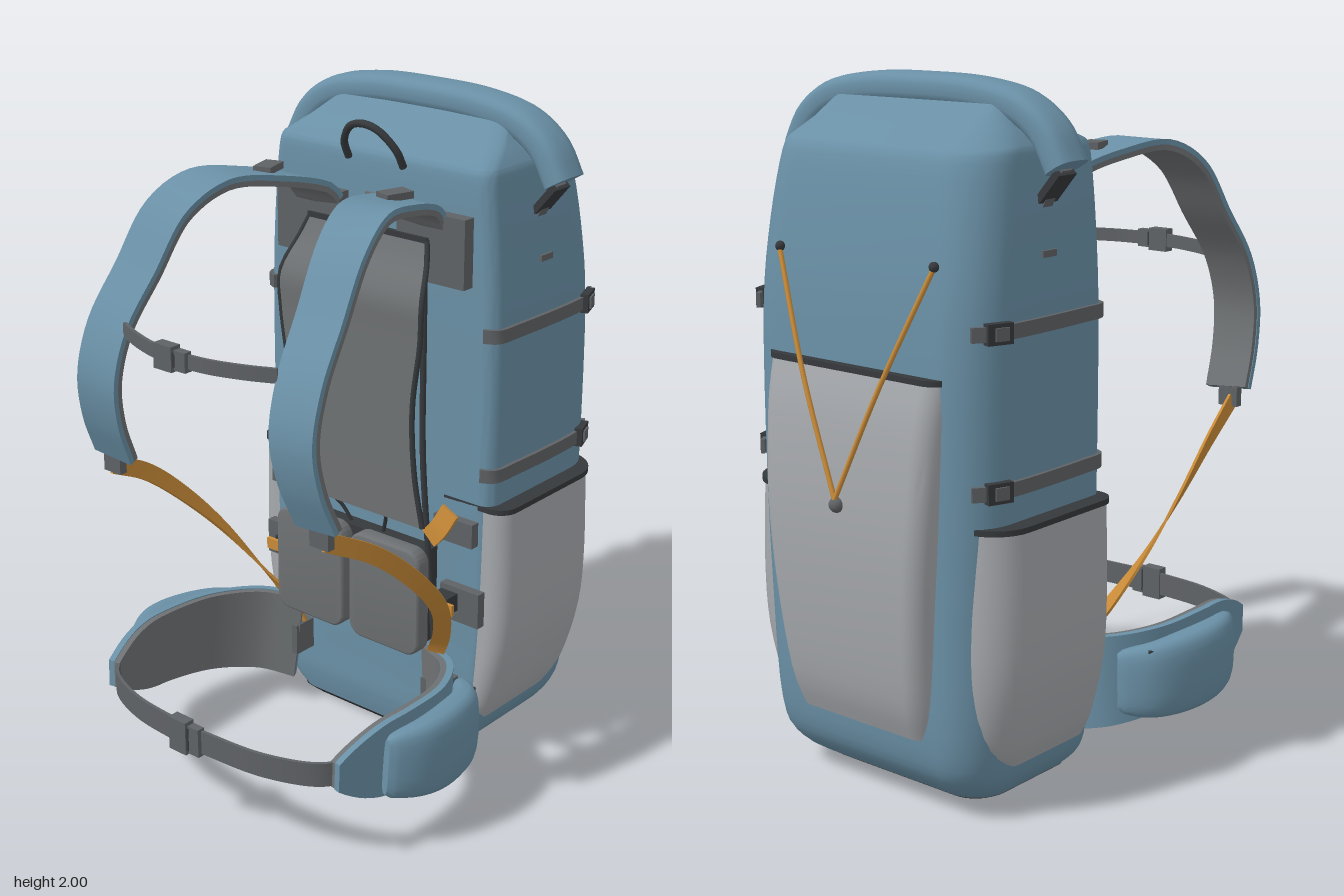
import * as THREE from 'three';
import { toCreasedNormals } from 'three/addons/utils/BufferGeometryUtils.js';

const V = (x, y, z) => new THREE.Vector3(x, y, z);
const mat = (name, color) => Object.assign(new THREE.MeshStandardMaterial({ color }), { name });

// Closed skin over a list of rings with equal point counts
function skin(rings, crease = 0.7) {
  const n = rings[0].length, pos = rings.flat().flatMap(p => [p.x, p.y, p.z]), idx = [];
  for (let i = 0; i < rings.length - 1; i++)
    for (let j = 0; j < n; j++) {
      const a = i * n + j, b = i * n + (j + 1) % n;
      idx.push(a, a + n, b, b, a + n, b + n);
    }
  [rings[0], rings[rings.length - 1]].forEach((r, e) => {
    const c = r.reduce((s, p) => s.add(p), V(0, 0, 0)).divideScalar(n), k = pos.length / 3;
    pos.push(c.x, c.y, c.z);
    const o = e * (rings.length - 1) * n;
    for (let j = 0; j < n; j++) {
      const a = o + j, b = o + (j + 1) % n;
      idx.push(k, e ? b : a, e ? a : b);
    }
  });
  const g = new THREE.BufferGeometry();
  g.setAttribute('position', new THREE.Float32BufferAttribute(pos, 3));
  g.setIndex(idx);
  return toCreasedNormals(g, crease);
}

// Horizontal rounded rectangle; rf and rb are the front and back corner radii
function ring(y, x0, x1, zF, zB, rf, rb) {
  const out = [], corner = (cx, cz, r, a0) => {
    for (let i = 0; i <= 8; i++) {
      const a = a0 + i / 8 * Math.PI / 2;
      out.push(V(cx + r * Math.cos(a), y, cz + r * Math.sin(a)));
    }
  };
  corner(x1 - rf, zF - rf, rf, 0);
  corner(x0 + rf, zF - rf, rf, Math.PI / 2);
  corner(x0 + rb, zB + rb, rb, Math.PI);
  corner(x1 - rb, zB + rb, rb, Math.PI * 1.5);
  return out;
}

// Smoothly resample rows of numbers
function smoothRows(rows, steps) {
  const out = [];
  for (let i = 0; i < rows.length - 1; i++)
    for (let s = 0; s < steps; s++)
      out.push(rows[i].map((v, k) => {
        const f = s / steps, p = rows[Math.max(i - 1, 0)][k], b = rows[i + 1][k], q = rows[Math.min(i + 2, rows.length - 1)][k];
        return THREE.MathUtils.lerp(v, b, f) + (f * (1 - f)) * ((1 - f) * ((b - p) / 2 - (b - v)) + f * ((b - v) - (q - v) / 2));
      }));
  out.push(rows[rows.length - 1]);
  return out;
}

// Strap or padded form swept along points; hw and ht are half width and half thickness
function sweep(pts, hw, ht, dir0, { dir1 = dir0, round = 0, seg = 32, offset = 0 } = {}) {
  const curve = new THREE.CatmullRomCurve3(pts.map(p => V(...p))), n = round ? 20 : 4, rings = [];
  const val = (f, t) => typeof f === 'function' ? f(t) : f;
  const sp = v => Math.sign(v) * Math.abs(v) ** round;
  for (let i = 0; i <= seg; i++) {
    const t = i / seg, p = curve.getPointAt(t), tan = curve.getTangentAt(t);
    const w = V(...dir0).lerp(V(...dir1), t);
    w.addScaledVector(tan, -w.dot(tan)).normalize();
    const nrm = tan.clone().cross(w), W = val(hw, t), T = val(ht, t), r = [];
    for (let j = 0; j < n; j++) {
      const a = Math.PI / 4 + j / n * Math.PI * 2;
      const c = round ? sp(Math.cos(a)) : Math.cos(a) * Math.SQRT2, s = round ? sp(Math.sin(a)) : Math.sin(a) * Math.SQRT2;
      r.push(p.clone().addScaledVector(w, W * c).addScaledVector(nrm, offset - T * s));
    }
    rings.push(r);
  }
  return skin(rings);
}
const tube = (pts, r) => new THREE.TubeGeometry(new THREE.CatmullRomCurve3(pts.map(p => V(...p))), 24, r, 8);
const box = (w, h, d, x, y, z, ry = 0, rz = 0) => new THREE.BoxGeometry(w, h, d).rotateZ(rz).rotateY(ry).translate(x, y, z);

// Mirror across x, restoring the corner order
function mirror(g) {
  const m = (g.index ? g.toNonIndexed() : g.clone()).scale(-1, 1, 1);
  for (const key of ['position', 'normal']) {
    const a = m.attributes[key];
    for (let i = 0; i < a.count; i += 3) {
      const p = V(0, 0, 0).fromBufferAttribute(a, i + 1), q = V(0, 0, 0).fromBufferAttribute(a, i + 2);
      a.setXYZ(i + 1, q.x, q.y, q.z);
      a.setXYZ(i + 2, p.x, p.y, p.z);
    }
  }
  return m;
}

export function createModel() {
  const group = new THREE.Group();
  group.name = 'backpack';
  const blue = mat('blue fabric', 0x6a90a6), light = mat('light grey pocket', 0xa6a9ad), grey = mat('grey padding', 0x6e7173);
  const web = mat('grey webbing', 0x5f6265), dark = mat('dark trim', 0x36393c), orange = mat('orange webbing', 0xc98b38);
  const add = (name, g, m) => {
    const mesh = new THREE.Mesh(g, m);
    mesh.name = name;
    group.add(mesh);
  };
  const pair = (name, g, m) => { add(name + 'Left', g, m); add(name + 'Right', mirror(g), m); };

  // Main bag, base and sloping top: y, half width, front z, back z, back radius
  const bag = smoothRows([[0.02, 0.31, -0.1, -0.48, 0.1], [0.09, 0.375, -0.09, -0.575, 0.12], [0.2, 0.4, -0.09, -0.62, 0.13],
    [0.5, 0.42, -0.09, -0.63, 0.14], [0.9, 0.427, -0.09, -0.635, 0.14], [1.35, 0.427, -0.09, -0.63, 0.14],
    [1.6, 0.415, -0.09, -0.605, 0.14], [1.79, 0.395, -0.09, -0.57, 0.14], [1.83, 0.385, -0.1, -0.54, 0.14]], 4);
  const bagRings = bag.map(([y, w, f, b, r]) => ring(y, -w, w, f, b, 0.045, r));
  bagRings.push(ring(1.87, -0.35, 0.35, -0.18, -0.47, 0.045, 0.1), ring(1.93, -0.3, 0.3, -0.27, -0.39, 0.04, 0.04));
  add('mainBag', skin(bagRings), blue);
  add('basePlate', skin([ring(0, -0.28, 0.28, -0.12, -0.45, 0.04, 0.09), ring(0.022, -0.315, 0.315, -0.098, -0.485, 0.04, 0.1)]), dark);

  // Rolled closure with drooping ends and clips
  add('rollTop', sweep([[-0.475, 1.775, -0.325], [-0.425, 1.86, -0.325], [-0.34, 1.92, -0.325], [-0.2, 1.95, -0.325], [0, 1.957, -0.325],
    [0.2, 1.95, -0.325], [0.34, 1.92, -0.325], [0.425, 1.86, -0.325], [0.475, 1.775, -0.325]], 0.063, 0.043, [0, 0, 1], { round: 0.65, seg: 48 }), blue);
  pair('rollClip', box(0.02, 0.1, 0.075, 0.435, 1.725, -0.32, 0, -0.7), dark);
  pair('rollClipStrap', sweep([[0.47, 1.77, -0.32], [0.42, 1.7, -0.32], [0.4, 1.66, -0.32]], 0.02, 0.004, [0, 0, 1]), web);
  pair('sideTab', box(0.012, 0.018, 0.055, 0.42, 1.55, -0.33), web);

  // Side pockets with a dark hem
  const side = smoothRows([[0.14, 0.395, -0.53], [0.22, 0.43, -0.57], [0.4, 0.47, -0.59], [0.6, 0.478, -0.595], [0.84, 0.472, -0.59]], 4);
  pair('sidePocket', skin(side.map(([y, x, b]) => ring(y, 0.2, x, -0.094, b, 0.06, 0.12))), light);
  pair('sidePocketHem', skin([0.837, 0.853].map(y => ring(y, 0.2, 0.478, -0.09, -0.596, 0.06, 0.12))), dark);

  // Large back pocket with hem and elastic cord
  const rear = smoothRows([[0.23, 0.25, -0.632], [0.35, 0.262, -0.672], [0.6, 0.282, -0.7], [0.85, 0.3, -0.706], [1.1, 0.312, -0.685], [1.235, 0.318, -0.655]], 4);
  add('backPocket', skin(rear.map(([y, w, b]) => ring(y, -w, w, -0.5, b, 0.04, 0.06))), light);
  add('backPocketHem', skin([1.23, 1.246].map(y => ring(y, -0.323, 0.323, -0.5, -0.66, 0.04, 0.06))), dark);
  pair('elasticCord', tube([[0.28, 1.53, -0.622], [0.14, 1.21, -0.682], [0, 0.89, -0.713]], 0.007), orange);
  pair('cordAnchor', new THREE.SphereGeometry(0.014, 12, 8).translate(0.28, 1.535, -0.62), dark);
  add('cordToggle', new THREE.SphereGeometry(0.022, 16, 12).translate(0, 0.875, -0.705), web);

  // Compression straps with buckles round each side
  for (const y of [1.37, 0.95]) {
    pair('compressionStrap', sweep([[0.39, y, -0.085], [0.425, y, -0.105], [0.434, y, -0.2], [0.434, y, -0.48], [0.42, y, -0.555], [0.39, y, -0.605]], 0.02, 0.006, [0, 1, 0]), web);
    pair('compressionBuckle', box(0.024, 0.056, 0.075, 0.428, y, -0.54, 0.35), dark);
    pair('buckleFace', box(0.02, 0.035, 0.04, 0.436, y, -0.54, 0.35), web);
  }

  // Carry loop
  add('carryLoop', tube([[-0.1, 1.8, -0.085], [-0.095, 1.85, -0.06], [-0.05, 1.905, -0.035], [0, 1.918, -0.03], [0.05, 1.905, -0.035], [0.095, 1.85, -0.06], [0.1, 1.8, -0.085]], 0.011), dark);
  add('loopPatch', box(0.07, 0.06, 0.01, 0, 1.68, -0.085), grey);

  // Suspended back panel, edge binding, frame rods and shoulder yoke
  const panelRows = [[0.79, 0.275, 0.03], [0.95, 0.245, 0.032], [1.15, 0.235, 0.032], [1.35, 0.26, 0.032], [1.46, 0.262, 0.03], [1.56, 0.235, -0.025], [1.62, 0.215, -0.05]];
  const rows = smoothRows(panelRows, 4);
  add('backPanel', skin(rows.map(([y, w, z]) => [V(w, y, z - 0.005), V(w, y, z + 0.005), V(-w, y, z + 0.005), V(-w, y, z - 0.005)])), grey);
  pair('panelBinding', tube(panelRows.map(([y, w, z]) => [w, y, z]), 0.008), dark);
  add('panelTopBinding', box(0.44, 0.016, 0.016, 0, 1.62, -0.05), dark);
  pair('frameRod', tube([[0.2, 1.6, -0.06], [0.22, 1.3, -0.035], [0.23, 1, -0.025], [0.25, 0.7, -0.03], [0.28, 0.3, -0.04]], 0.009), dark);
  pair('frameStay', tube([[0.12, 0.8, 0.02], [0.09, 0.75, -0.03], [0.05, 0.66, -0.06]], 0.006), dark);
  pair('shoulderYoke', box(0.24, 0.2, 0.04, 0.225, 1.6, -0.07), web);

  // Shoulder straps: blue shell over grey padding
  const strap = [[0.185, 1.67, -0.06], [0.195, 1.715, -0.02], [0.235, 1.762, 0.14], [0.28, 1.775, 0.3], [0.315, 1.71, 0.42], [0.335, 1.56, 0.525],
    [0.352, 1.42, 0.62], [0.36, 1.28, 0.662], [0.37, 1.15, 0.645], [0.382, 1.025, 0.595]];
  const strapW = t => 0.085 - 0.014 * t;
  pair('shoulderStrap', sweep(strap, strapW, 0.008, [1, 0, 0], { seg: 48, offset: 0.009 }), blue);
  pair('strapPadding', sweep(strap, t => strapW(t) - 0.002, 0.008, [1, 0, 0], { seg: 48, offset: -0.007 }), grey);
  pair('strapAdjuster', box(0.055, 0.02, 0.085, 0.23, 1.785, 0.11, -0.3), web);
  pair('strapEndBuckle', box(0.065, 0.06, 0.025, 0.39, 1.0, 0.595), web);

  // Lower orange straps
  pair('lowerStrap', sweep([[0.4, 0.985, 0.59], [0.43, 0.9, 0.43], [0.44, 0.76, 0.26], [0.42, 0.62, 0.13], [0.36, 0.48, 0.04], [0.29, 0.36, -0.02], [0.27, 0.28, -0.045]],
    0.026, 0.004, [0, 1, -0.6], { dir1: [1, 0.3, 0.2] }), orange);
  pair('anchorStrap', sweep([[0.33, 0.84, -0.03], [0.3, 0.78, -0.015], [0.27, 0.745, -0.01]], 0.03, 0.006, [1, -0.4, 0]), orange);
  pair('upperAnchor', box(0.14, 0.075, 0.03, 0.32, 0.765, -0.07), web);
  pair('lowerAnchor', box(0.14, 0.11, 0.03, 0.345, 0.53, -0.075), web);
  pair('anchorBuckle', box(0.06, 0.055, 0.06, 0.31, 0.54, -0.04), dark);
  pair('anchorTab', box(0.08, 0.035, 0.012, 0.325, 0.54, -0.005), orange);

  // Lumbar pads
  const pad = new THREE.Shape(), r = 0.04;
  pad.absarc(0.23, 0.665, r, 0, Math.PI / 2);
  pad.absarc(0.06, 0.665, r, Math.PI / 2, Math.PI);
  pad.absarc(0.06, 0.42, r, Math.PI, Math.PI * 1.5);
  pad.absarc(0.23, 0.42, r, Math.PI * 1.5, Math.PI * 2);
  pair('lumbarPad', toCreasedNormals(new THREE.ExtrudeGeometry(pad, { depth: 0.035, bevelSize: 0.008, bevelThickness: 0.01, bevelSegments: 3 }).translate(0, 0, 0.005), 0.7), grey);
  add('lumbarBacking', box(0.5, 0.3, 0.05, 0, 0.54, -0.05), dark);
  pair('beltAnchor', box(0.08, 0.1, 0.08, 0.29, 0.23, -0.045), web);

  // Hip belt wings with outer pouches
  const wing = [[0.26, 0.235, -0.03], [0.37, 0.25, 0.03], [0.445, 0.268, 0.16], [0.465, 0.285, 0.32], [0.457, 0.295, 0.48], [0.435, 0.3, 0.6]];
  const wingW = t => t < 0.7 ? 0.145 - 0.04 * t : 0.117 - 0.075 * ((t - 0.7) / 0.3) ** 2;
  pair('hipBelt', sweep(wing, wingW, 0.01, [0, 1, 0], { offset: -0.01 }), blue);
  pair('hipBeltPadding', sweep(wing, t => wingW(t) - 0.003, 0.009, [0, 1, 0], { offset: 0.009 }), grey);
  const bulge = t => 0.25 + 0.75 * Math.sin(Math.PI * t) ** 0.5;
  pair('hipPouch', sweep([[0.41, 0.255, 0.015], [0.485, 0.258, 0.09], [0.523, 0.265, 0.22], [0.528, 0.275, 0.34], [0.495, 0.283, 0.455]],
    t => 0.085 + 0.035 * Math.sin(Math.PI * t) ** 0.5, t => 0.052 * bulge(t), [0, 1, 0], { round: 0.6 }), blue);
  pair('pouchSeam', tube([[0.49, 0.355, 0.05], [0.545, 0.352, 0.15], [0.565, 0.352, 0.27], [0.535, 0.352, 0.41]], 0.005), dark);

  // Waist and chest webbing with centre buckles
  for (const [name, y, h, pts] of [
    ['waist', 0.3, 0.036, [[0.445, 0.3, 0.55], [0.4, 0.3, 0.62], [0.25, 0.3, 0.685], [0, 0.3, 0.71]]],
    ['chest', 1.43, 0.02, [[0.28, 1.43, 0.635], [0.2, 1.43, 0.67], [0.1, 1.43, 0.7], [0, 1.43, 0.71]]]]) {
    pair(name + 'Webbing', sweep(pts, h, 0.005, [0, 1, 0]), web);
    add(name + 'BuckleSocket', box(0.065, h * 2 + 0.03, 0.035, -0.04, y, 0.712), web);
    add(name + 'BuckleClip', box(0.04, h * 2 + 0.015, 0.025, 0.018, y, 0.712), web);
    add(name + 'BuckleGap', box(0.012, h * 2, 0.028, -0.005, y, 0.712), dark);
  }
  return group;
}
